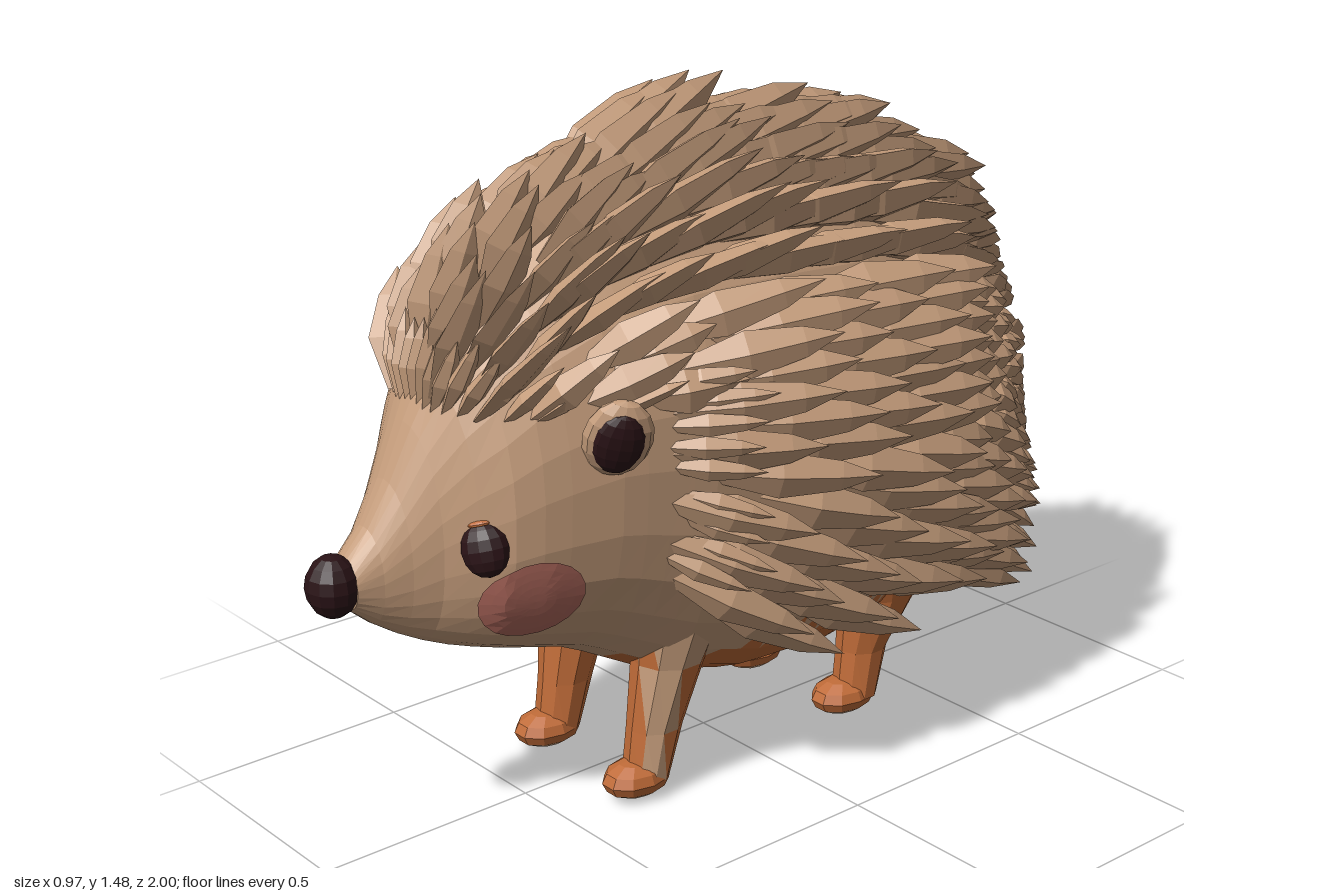
import * as THREE from 'three';
import { mergeGeometries } from 'three/addons/utils/BufferGeometryUtils.js';

const V = (x, y, z) => new THREE.Vector3(x, y, z);
const UPPER = 2, LOWER = 2.35; // roundness exponents above and below the widest line

// Body sections: z, bottom, top, half width
const SECTIONS = [
  [0.92, 0.555, 0.66, 0.05], [0.85, 0.495, 0.735, 0.075], [0.78, 0.455, 0.88, 0.115],
  [0.74, 0.435, 0.97, 0.15], [0.68, 0.415, 1.06, 0.218], [0.60, 0.39, 1.16, 0.26],
  [0.45, 0.35, 1.26, 0.31], [0.25, 0.24, 1.33, 0.35], [0.05, 0.18, 1.345, 0.372],
  [-0.2, 0.17, 1.33, 0.375], [-0.4, 0.19, 1.26, 0.335], [-0.6, 0.27, 1.13, 0.26],
  [-0.75, 0.34, 0.95, 0.18], [-0.86, 0.42, 0.76, 0.09], [-0.91, 0.5, 0.62, 0.03],
];

function section(z) {
  let i = 0;
  while (i < SECTIONS.length - 2 && z < SECTIONS[i + 1][0]) i++;
  const a = SECTIONS[i], b = SECTIONS[i + 1];
  const t = (z - a[0]) / (b[0] - a[0]);
  const [bottom, top, w] = [1, 2, 3].map((k) => a[k] + (b[k] - a[k]) * t);
  return { cy: (bottom + top) / 2, h: (top - bottom) / 2, w: Math.max(w, 0.01) };
}

// Point on the body; phi is 0 at the top and grows toward +x
function bodyPoint(z, phi) {
  const { cy, h, w } = section(z);
  const n = Math.cos(phi) > 0 ? UPPER : LOWER;
  const bend = (v) => Math.sign(v) * Math.abs(v) ** (2 / n);
  return V(w * bend(Math.sin(phi)), cy + h * bend(Math.cos(phi)), z);
}

function faceted(geo) {
  const g = geo.index ? geo.toNonIndexed() : geo;
  g.computeVertexNormals();
  return g;
}

// Closed skin over rings of points, with end caps
function loft(rings) {
  const n = rings[0].length, pts = rings.flat(), idx = [];
  const center = (r) => r.reduce((s, p) => s.add(p), V(0, 0, 0)).divideScalar(n);
  const first = pts.length, last = first + 1, end = (rings.length - 1) * n;
  pts.push(center(rings[0]), center(rings[rings.length - 1]));
  for (let j = 0; j < n; j++) {
    const k = (j + 1) % n;
    for (let i = 0; i < rings.length - 1; i++) {
      const a = i * n + j, b = i * n + k;
      idx.push(a, b, a + n, b, b + n, a + n);
    }
    idx.push(first, k, j, last, end + j, end + k);
  }
  const geo = new THREE.BufferGeometry().setFromPoints(pts);
  geo.setIndex(idx);
  return faceted(geo);
}

// Sort triangles into two material groups by a rule on their centre
function twoTone(geo, isSecond) {
  const p = geo.attributes.position, lists = [[], []];
  for (let i = 0; i < p.count; i += 3) {
    const tri = [0, 1, 2].map((k) => V().fromBufferAttribute(p, i + k));
    const c = V(0, 0, 0).add(tri[0]).add(tri[1]).add(tri[2]).divideScalar(3);
    lists[isSecond(c) ? 1 : 0].push(...tri);
  }
  const out = new THREE.BufferGeometry().setFromPoints([...lists[0], ...lists[1]]);
  out.computeVertexNormals();
  out.addGroup(0, lists[0].length, 0);
  out.addGroup(lists[0].length, lists[1].length, 1);
  return out;
}

function makeQuills() {
  let seed = 7;
  const rand = () => (seed = (seed * 16807) % 2147483647) / 2147483647;
  const leaf = new THREE.LatheGeometry(
    [[0.35, 0], [1, 0.4], [0.65, 0.75], [0, 1]].map(([x, y]) => new THREE.Vector2(x, y)), 5).toNonIndexed();
  const parts = [];
  const step = 0.167;

  // One quill, leaning back along the body and lifted off it
  function addQuill(z, phi, lift, length, width, depth) {
    const base = bodyPoint(z, phi);
    const back = bodyPoint(z - 0.03, phi).sub(bodyPoint(z + 0.03, phi)).normalize();
    const across = bodyPoint(z, phi + 0.03).sub(bodyPoint(z, phi - 0.03));
    const normal = across.cross(back).normalize();
    const rear = THREE.MathUtils.smoothstep(-z, 0.25, 0.7);
    const dir = back.addScaledVector(normal, lift + 0.65 * rear);
    dir.x *= 1 - 0.7 * rear;
    if (base.y < 0.75) dir.y -= 0.15 + (base.y < 0.45 ? 0.6 : 0.35) * rear;
    dir.normalize();
    // Tips end on a rounded tail
    const zEnd = -1 + 0.32 * Math.abs(base.y - 0.5) + 3 * base.x ** 2;
    const room = dir.z < -0.1 ? Math.max(0.12, (base.z - zEnd) / -dir.z) : length;
    const side = dir.clone().cross(normal).normalize();
    const m = new THREE.Matrix4().makeBasis(side, dir, side.clone().cross(dir));
    m.scale(V(width, Math.min(length, room), depth));
    m.setPosition(base.addScaledVector(normal, -0.015));
    parts.push(leaf.clone().applyMatrix4(m));
  }

  let row = 0;
  for (let z0 = 0.71; z0 > -0.9; z0 -= z0 < -0.5 ? 0.06 : 0.092, row++) {
    for (let col = -14; col <= 14; col++) {
      const onTop = Math.abs(col) < 6;
      const stagger = onTop ? 0 : (row % 2) * 0.5 * Math.sign(col);
      const phi = (col + stagger) * step;
      const z = z0 + (rand() - 0.5) * 0.06;
      const { y } = bodyPoint(z, phi);
      // Leave the face, chest and belly bare
      const edge = z > 0.38 ? 0.93 : z > -0.45 ? 0.41 + 0.3 * Math.max(0, z) : 0.29;
      if (y < edge) continue;
      const fit = THREE.MathUtils.clamp(section(z).w / 0.375, 0.55, 1);
      const length = (z > 0.4 ? 0.22 : 0.32) + 0.06 * rand();
      const lift = (onTop ? 0.15 : 0.22) + 0.1 * rand();
      addQuill(z, phi, lift, length, (onTop ? 0.038 : 0.056) * fit, onTop ? 0.06 : 0.034);
    }
  }

  // Fringe standing along the brow
  for (let i = -9; i <= 9; i++) {
    const phi = i * 0.14;
    let z = 0.75;
    while (bodyPoint(z, phi).y < 0.93 && z > 0.42) z -= 0.005;
    addQuill(z, phi, 0.3, 0.16 + 0.04 * rand(), 0.02, 0.03);
  }

  // Short ruff behind the cheeks and ears
  for (let i = 0; i < 9; i++) {
    for (const s of [1, -1]) addQuill(0.38 - 0.05 * rand(), s * (1.22 + i * 0.085), 0.5, 0.17 + 0.05 * rand(), 0.025, 0.02);
  }
  return faceted(mergeGeometries(parts));
}

// Leg rings: y, x, z, x radius, z radius
const LEGS = {
  front: { foot: 0.32, rings: [[0.46, 0.18, 0.21, 0.11, 0.11], [0.3, 0.16, 0.235, 0.08, 0.08],
    [0.15, 0.155, 0.27, 0.058, 0.062], [0.04, 0.155, 0.295, 0.054, 0.05]] },
  rear: { foot: -0.285, rings: [[0.4, 0.18, -0.36, 0.1, 0.13], [0.28, 0.17, -0.375, 0.08, 0.1],
    [0.15, 0.16, -0.335, 0.056, 0.06], [0.04, 0.16, -0.315, 0.054, 0.05]] },
};

export function createModel() {
  const mat = (name, color) => {
    const m = new THREE.MeshStandardMaterial({ color });
    m.name = name;
    return m;
  };
  const tan = mat('tan', 0xc49c7b), orange = mat('orange', 0xbf6b38);
  const dark = mat('dark brown', 0x2a1316), pink = mat('cheek pink', 0xae685c);
  const model = new THREE.Group();
  const add = (name, geo, material, parent = model) => {
    const mesh = new THREE.Mesh(geo, material);
    mesh.name = name;
    parent.add(mesh);
    return mesh;
  };
  const ball = (name, material, pos, size, parent) => {
    const mesh = add(name, faceted(new THREE.SphereGeometry(1, 12, 8)), material, parent);
    mesh.position.set(...pos);
    mesh.scale.set(...size);
  };
  const tilted = (name, pos, yaw, lean) => {
    const group = new THREE.Group();
    group.name = name;
    group.position.set(...pos);
    group.rotation.set(0, yaw, lean, 'ZYX');
    model.add(group);
    return group;
  };

  // Body and head with an orange belly
  const rings = [];
  for (let i = 0; i <= 36; i++) {
    const z = 0.92 - (i / 36) * 1.83;
    rings.push(Array.from({ length: 28 }, (_, j) => bodyPoint(z, (j / 28) * Math.PI * 2)));
  }
  const isBelly = (c) => c.y < 0.325 && c.z > -0.66 && (c.z < 0.17 || (c.z < 0.4 && Math.abs(c.x) < 0.2));
  add('body', twoTone(loft(rings), isBelly), [tan, orange]);
  add('quills', makeQuills(), tan);
  ball('nose', dark, [0, 0.61, 0.945], [0.056, 0.065, 0.055]);

  for (const s of [1, -1]) {
    const sideName = s > 0 ? 'left' : 'right';

    // Eye with a thin orange lid
    const eye = tilted(sideName + 'Eye', [s * 0.18, 0.68, 0.71], s * 0.65, s * 0.3);
    ball('eyeball', dark, [0, 0, 0], [0.05, 0.057, 0.034], eye);
    ball('eyelid', orange, [0, 0.052, 0.006], [0.026, 0.008, 0.014], eye);

    // Cheek patch laid on the face
    const cheek = new THREE.RingGeometry(0, 1, 20, 5);
    const p = cheek.attributes.position;
    for (let i = 0; i < p.count; i++) {
      const z = 0.625 - s * 0.095 * p.getX(i), y = 0.56 + 0.09 * p.getY(i);
      const { cy, h, w } = section(z);
      const f = Math.min(1, Math.abs(y - cy) / h);
      p.setXYZ(i, s * (w * (1 - f ** LOWER) ** (1 / LOWER) + 0.009), y, z);
    }
    add(sideName + 'Cheek', faceted(cheek), pink);

    // Ear: shallow cup with a dark inside
    const ear = tilted(sideName + 'Ear', [s * 0.318, 0.895, 0.488], s * 1.0, -s * 0.35);
    ball('earShell', tan, [0, 0, 0], [0.07, 0.088, 0.035], ear);
    ball('earInside', dark, [0, 0, 0.022], [0.05, 0.068, 0.022], ear);

    // Legs with tan outer strips, and feet with tan soles
    for (const [key, { foot, rings: list }] of Object.entries(LEGS)) {
      const legRings = list.map(([y, x, z, rx, rz]) => Array.from({ length: 10 }, (_, j) => {
        const a = (j / 10) * Math.PI * 2;
        return V(s * x - rx * Math.sin(a), y, z + rz * Math.cos(a));
      }));
      const outer = (c) => key === 'front' && s * c.x > 0.185 && c.z > 0.31 - 0.25 * c.y;
      add(`${sideName} ${key} leg`, twoTone(loft(legRings), (c) => !outer(c) && c.y < 0.37), [tan, orange]);
      const footGeo = twoTone(faceted(new THREE.SphereGeometry(1, 10, 6)), (c) => c.y > -0.6);
      const mesh = add(`${sideName} ${key} foot`, footGeo, [tan, orange]);
      mesh.position.set(s * 0.155, 0.042, foot);
      mesh.scale.set(0.06, 0.042, 0.083);
    }
  }
  return model;
}
